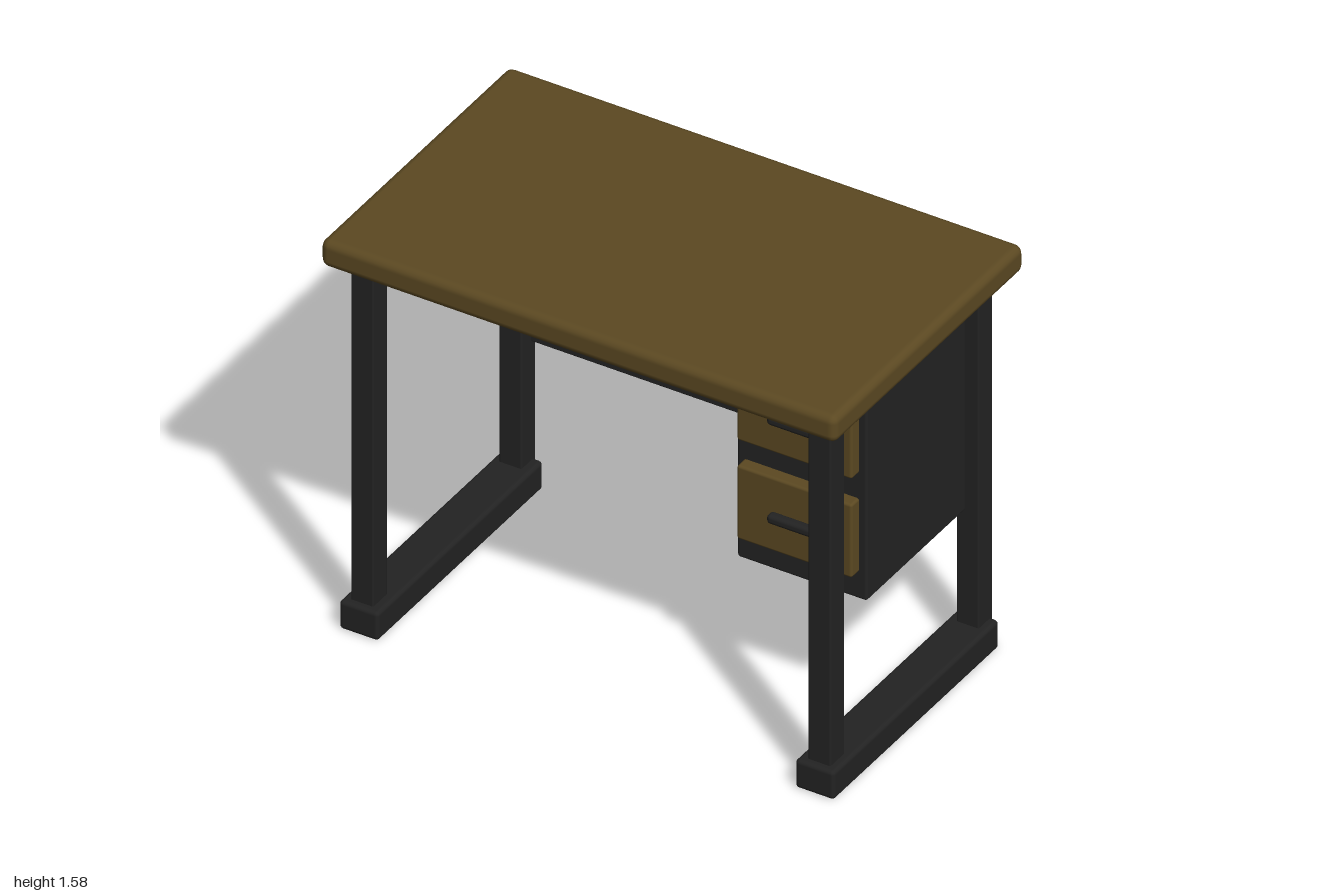
import * as THREE from 'three';
import { RoundedBoxGeometry } from 'three/addons/geometries/RoundedBoxGeometry.js';

const wood = new THREE.MeshStandardMaterial({ color: 0x5c4922 });
wood.name = 'brown wood';
const metal = new THREE.MeshStandardMaterial({ color: 0x232323 });
metal.name = 'black metal';

// Softly bevelled block given by its [min, max] extent on each axis
function block(name, material, [x0, x1], [y0, y1], [z0, z1], bevel = 0.008) {
  const geometry = new RoundedBoxGeometry(x1 - x0, y1 - y0, z1 - z0, 2, bevel);
  const mesh = new THREE.Mesh(geometry, material);
  mesh.name = name;
  mesh.position.set((x0 + x1) / 2, (y0 + y1) / 2, (z0 + z1) / 2);
  return mesh;
}

// Drawer front with its bar handle
function drawer(name, y0, y1) {
  const group = new THREE.Group();
  group.name = name;
  const mid = (y0 + y1) / 2;
  group.add(
    block('drawerFront', wood, [0.4, 0.847], [y0, y1], [0.19, 0.245], 0.01),
    block('drawerHandle', metal, [0.535, 0.71], [mid - 0.018, mid + 0.018], [0.243, 0.281], 0.014)
  );
  return group;
}

// Side frame: two posts standing in a long foot
function sideFrame(name, side) {
  const group = new THREE.Group();
  group.name = name;
  const span = (a, b) => (side > 0 ? [a, b] : [-b, -a]);
  group.add(
    block('frontLeg', metal, span(0.843, 0.93), [0.005, 1.46], [0.425, 0.515], 0.006),
    block('backLeg', metal, span(0.843, 0.93), [0.005, 1.46], [-0.513, -0.423], 0.006),
    block('foot', metal, span(0.808, 0.96), [0, 0.113], [-0.505, 0.543], 0.015)
  );
  return group;
}

export function createModel() {
  const desk = new THREE.Group();
  desk.name = 'desk';

  // Table top
  desk.add(block('tableTop', wood, [-1, 1], [1.475, 1.582], [-0.6, 0.6], 0.03));

  // Legs and feet
  desk.add(sideFrame('leftFrame', 1), sideFrame('rightFrame', -1));

  // Rear rail under the top and the modesty panel below it
  desk.add(
    block('backRail', metal, [-0.9, 0.9], [1.27, 1.478], [-0.545, -0.475], 0.006),
    block('modestyPanel', metal, [-0.91, 0.58], [0.59, 1.275], [-0.54, -0.485], 0.006)
  );

  // Drawer cabinet
  desk.add(
    block('cabinet', metal, [0.373, 0.876], [0.568, 1.437], [-0.5, 0.197], 0.01),
    drawer('upperDrawer', 1.075, 1.37),
    drawer('lowerDrawer', 0.678, 0.973)
  );

  return desk;
}
